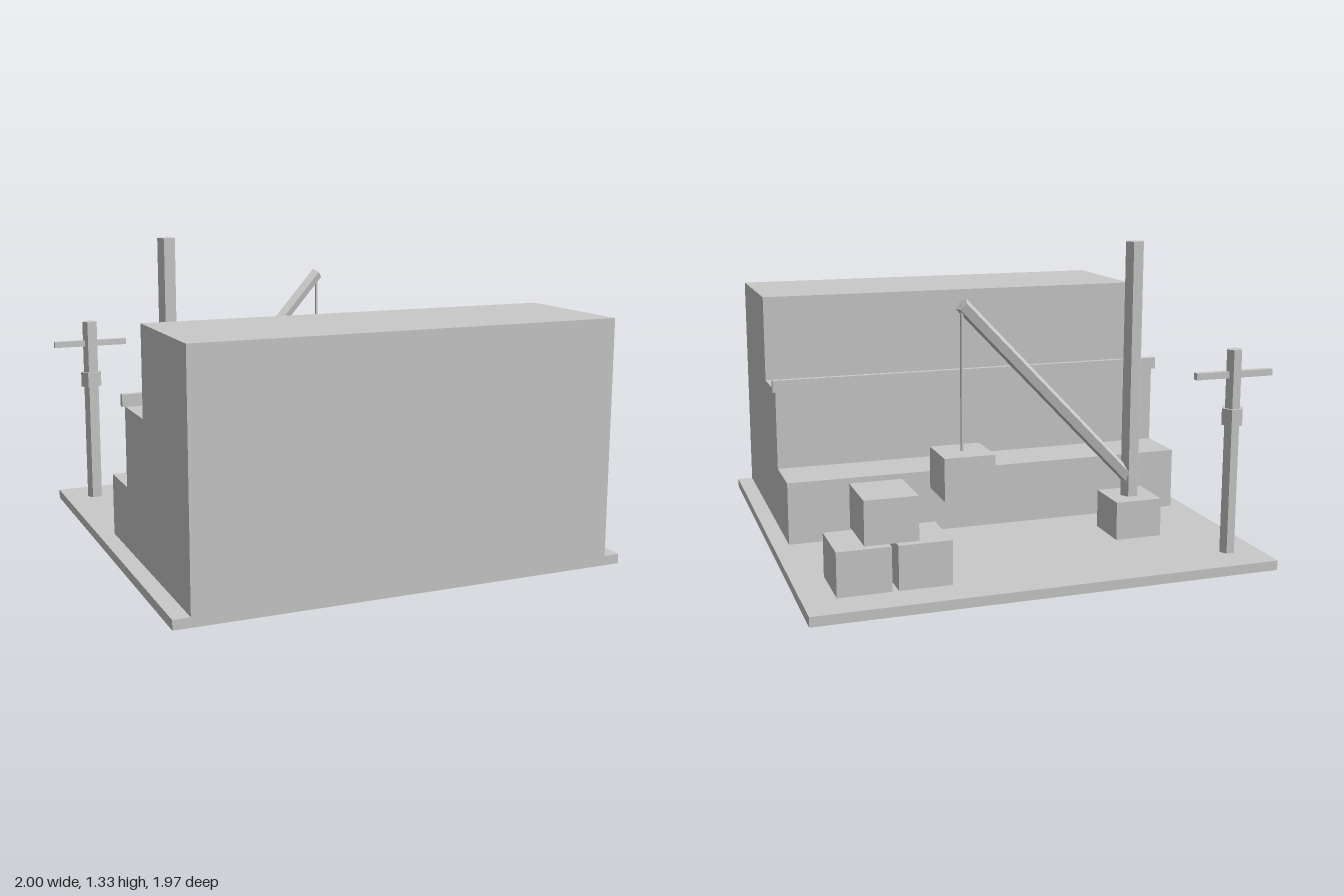
import * as THREE from 'three';

export function createModel() {
  const group = new THREE.Group();
  const stone = new THREE.MeshStandardMaterial({ color: 0xc9c9c9 });
  stone.name = 'plain grey';

  function add(name, geometry) {
    const mesh = new THREE.Mesh(geometry, stone);
    mesh.name = name;
    group.add(mesh);
    return mesh;
  }

  // Box given by its limits along each axis
  function box(name, [x0, x1], [y0, y1], [z0, z1]) {
    const mesh = add(name, new THREE.BoxGeometry(x1 - x0, y1 - y0, z1 - z0));
    mesh.position.set((x0 + x1) / 2, (y0 + y1) / 2, (z0 + z1) / 2);
  }

  // Faceted prism with flat sides
  function prism(radius, length, sides) {
    const geometry = new THREE.CylinderGeometry(radius, radius, length, sides).toNonIndexed();
    geometry.computeVertexNormals();
    return geometry;
  }

  // Upright hexagonal post with corners pointing along x
  function post(name, radius, x, z, y0, y1) {
    const mesh = add(name, prism(radius, y1 - y0, 6).rotateY(Math.PI / 6));
    mesh.position.set(x, (y0 + y1) / 2, z);
  }

  box('basePlate', [-0.967, 1], [0, 0.041], [-0.983, 0.983]);

  // Stepped block, extruded from its side profile
  const profile = new THREE.Shape([
    [-0.983, 0.041], [0.141, 0.041], [0.141, 0.316], [-0.106, 0.316],
    [-0.106, 0.667], [-0.386, 0.667], [-0.386, 1.053], [-0.983, 1.053],
  ].map(([x, y]) => new THREE.Vector2(x, y)));
  const steps = new THREE.ExtrudeGeometry(profile, { depth: 1.826, bevelEnabled: false });
  add('steppedBlock', steps.rotateY(Math.PI / 2).translate(-0.896, 0, 0));
  box('stepRail', [-0.91, 0.943], [0.667, 0.72], [0.092, 0.119]);

  // Crane: footing, mast, leaning boom, rope and load
  box('craneFooting', [-0.651, -0.44], [0.041, 0.21], [-0.527, -0.316]);
  post('craneMast', 0.042, -0.546, -0.421, 0.21, 1.334);

  const foot = new THREE.Vector3(-0.546, 0.281, -0.421);
  const tip = new THREE.Vector3(0.298, 1.124, -0.632);
  const along = tip.clone().sub(foot);
  const boom = add('craneBoom', prism(0.031, along.length(), 5));
  along.normalize();
  const ridge = new THREE.Vector3(0, 1, 0).addScaledVector(along, -along.y).normalize();
  const side = along.clone().cross(ridge);
  boom.quaternion.setFromRotationMatrix(new THREE.Matrix4().makeBasis(side, along, ridge));
  boom.position.copy(foot).add(tip).multiplyScalar(0.5);

  post('craneRope', 0.007, 0.298, -0.632, 0.53, 1.12);
  box('hangingBlock', [0.192, 0.403], [0.355, 0.53], [-0.737, -0.527]);

  // Stacked blocks
  for (const x of [0.508, 0.754]) {
    box('lowerBlock', [x - 0.11, x + 0.11], [0.041, 0.225], [-0.829, -0.576]);
  }
  box('upperBlock', [0.525, 0.745], [0.225, 0.408], [-0.795, -0.542]);

  // Signal post with collar and cross arm
  post('signalPost', 0.035, -0.826, -0.808, 0.041, 0.914);
  post('postCollar', 0.049, -0.826, -0.808, 0.597, 0.667);
  box('crossArm', [-1, -0.65], [0.795, 0.823], [-0.822, -0.795]);

  return group;
}
